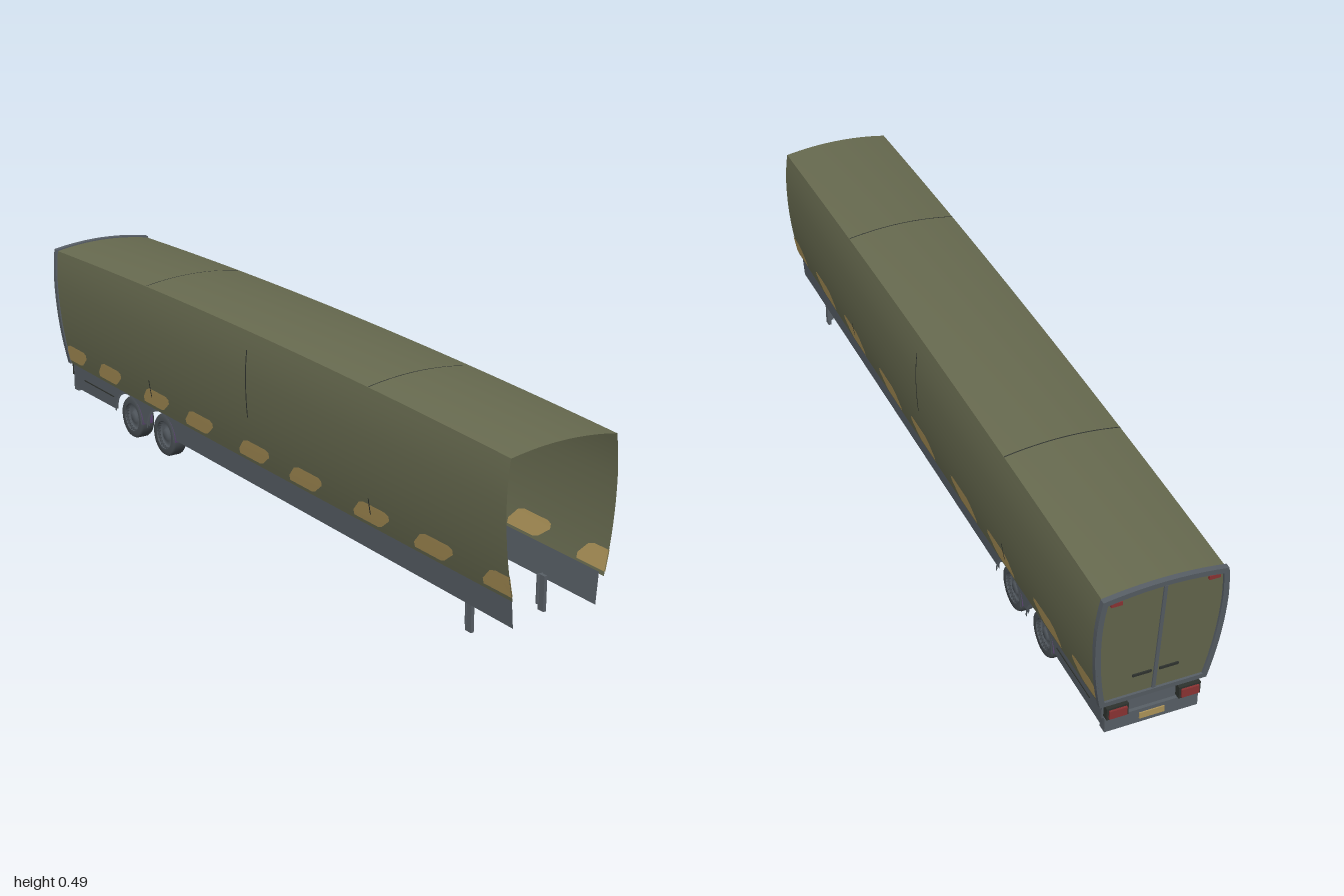
import * as THREE from 'three';

const mat = (name, color, side = THREE.FrontSide) => {
  const m = new THREE.MeshStandardMaterial({ color, side });
  m.name = name;
  return m;
};

// Barrel-shaped hull: widest at y = 0.36, slightly narrower and lower at both ends
const BOTTOM = 0.137;
const cornerY = (z) => 0.474 - 0.019 * z * z;
const halfWidth = (y, z) => 0.153 - (y < 0.36 ? 0.5 : 0.85) * (y - 0.36) ** 2 - 0.005 * z * z;
const roofY = (f, z) => cornerY(z) + 0.013 * (1 - f * f);
// The tail leans back towards the top
const lean = (y, z) => z + (z < -0.5 ? 0.028 * ((0.47 - y) / 0.33) * ((-z - 0.5) / 0.5) : 0);

// Moves every vertex of a flat geometry by a rule
function remap(geo, rule) {
  const p = geo.attributes.position;
  for (let i = 0; i < p.count; i++) p.setXYZ(i, ...rule(p.getX(i), p.getY(i)));
  geo.computeVertexNormals();
  return geo;
}
const sheet = (nu, nv, rule) =>
  remap(new THREE.PlaneGeometry(1, 1, nu, nv), (a, b) => rule(a + 0.5, b + 0.5));

// Rear outline, inset from the hull edge
function rearOutline(inset) {
  const pts = [];
  const top = cornerY(1) - inset;
  const low = 0.14 + inset;
  for (let i = 0; i <= 12; i++) {
    const y = low + ((top - low) * i) / 12;
    pts.push(new THREE.Vector2(halfWidth(y, 1) - inset, y));
  }
  const w = pts[12].x;
  for (let i = 1; i < 10; i++) {
    const f = 1 - i / 5;
    pts.push(new THREE.Vector2(w * f, top + 0.013 * (1 - f * f)));
  }
  for (let i = 12; i >= 0; i--) pts.push(new THREE.Vector2(-pts[i].x, pts[i].y));
  return pts;
}
function rearPanel(shape, z, depth) {
  const geo = new THREE.ExtrudeGeometry(shape, { depth, bevelEnabled: false });
  const p = geo.attributes.position;
  for (let i = 0; i < p.count; i++) p.setZ(i, p.getZ(i) + z + 0.085 * (0.47 - p.getY(i)));
  geo.computeVertexNormals();
  return geo;
}

export function createModel() {
  const olive = mat('olive canvas', 0x686b50, THREE.DoubleSide);
  const grey = mat('steel grey', 0x596067, THREE.DoubleSide);
  const tan = mat('tan marking', 0xb0965a, THREE.DoubleSide);
  const tyreMat = mat('tyre grey', 0x4a5055);
  const dark = mat('dark trim', 0x2f332f, THREE.DoubleSide);
  const purple = mat('purple guard', 0x57426c);
  const red = mat('red lamp', 0x8c3434);

  const root = new THREE.Group();
  root.name = 'trailer';
  const add = (name, geo, material, x = 0, y = 0, z = 0) => {
    const m = new THREE.Mesh(geo, material);
    m.name = name;
    m.position.set(x, y, z);
    root.add(m);
    return m;
  };
  const box = (name, w, h, d, material, x, y, z) =>
    add(name, new THREE.BoxGeometry(w, h, d), material, x, y, z);

  // Roof and its cross seams
  const roofPoint = (u, z, off = 0) => {
    const f = 2 * u - 1;
    const y = roofY(f, z);
    return [f * halfWidth(cornerY(z), z), y + off, lean(y, z)];
  };
  add('roof', sheet(16, 40, (u, v) => roofPoint(u, 1 - 2 * v)), olive);
  for (const z of [0.5, -0.49])
    add('roofSeam', sheet(16, 1, (u, v) => roofPoint(u, z + 0.003 * v, 0.001)), dark);

  // Front edge of each marking, measured along z
  const marks = [1.05, 0.81, 0.58, 0.315, 0.09, -0.17, -0.39, -0.655, -0.865];
  const wheelZ = [-0.47, -0.642];

  for (const s of [1, -1]) {
    const side = s > 0 ? 'left' : 'right';
    const sidePoint = (y, z, off = 0) => [s * (halfWidth(y, z) + off), y, lean(y, z)];

    // Curved side wall
    add(side + 'Wall', sheet(40, 20, (u, v) => {
      const z = 1 - 2 * u;
      return sidePoint(BOTTOM + v * (cornerY(z) - BOTTOM), z);
    }), olive);

    // Slanted markings, on both faces of the wall
    for (const m of marks) {
      const shape = new THREE.Shape();
      [[0, 0.178], [0, 0.19], [0.012, 0.195], [0.095, 0.195], [0.115, 0.188], [0.142, 0.16],
        [0.142, 0.147], [0.05, 0.147], [0.035, 0.152]].forEach(([d, y], i) => {
        const z = Math.min(1, Math.max(-0.995, m - d));
        if (i) shape.lineTo(z, y); else shape.moveTo(z, y);
      });
      for (const off of [0.0015, -0.0015])
        add(side + 'Marking', remap(new THREE.ShapeGeometry(shape), (z, y) => sidePoint(y, z, off)), tan);
    }

    // Wall seams
    for (const [z, y0, y1] of [[0.505, 0.17, 0.21], [0.01, 0.26, 0.43], [-0.485, 0.17, 0.22]])
      add(side + 'Seam', sheet(1, 8, (u, v) => sidePoint(y0 + v * (y1 - y0), z + 0.004 * u, 0.0015)), dark);

    // Chassis skirt with wheel arches
    const skirt = new THREE.Shape();
    skirt.moveTo(0.99, 0.145);
    skirt.lineTo(0.99, 0.07);
    for (const z of wheelZ) skirt.absarc(z, 0.063, 0.07, 0.1, Math.PI - 0.1, false);
    skirt.lineTo(-0.73, 0.066);
    skirt.lineTo(-0.96, 0.064);
    skirt.lineTo(-0.96, 0.145);
    add(side + 'Skirt', remap(new THREE.ShapeGeometry(skirt, 20),
      (z, y) => [s * (0.112 + 0.08 * (y - 0.07)), y, z]), grey);
    box(side + 'SkirtGroove', 0.003, 0.003, 0.17, dark, s * 0.1145, 0.1, -0.815);

    // Wheels, arch lips and guards
    for (const z of wheelZ) {
      const profile = [[0, -0.012], [0.034, -0.012], [0.038, -0.019], [0.053, -0.019], [0.057, -0.013],
        [0.057, 0.013], [0.053, 0.019], [0.038, 0.019], [0.034, 0.008], [0.018, 0.008], [0.014, 0.014], [0, 0.014]];
      const tyre = add(side + 'Tyre', new THREE.LatheGeometry(
        profile.slice(2, 8).map(([r, h]) => new THREE.Vector2(r, h)), 24), tyreMat, s * 0.09, 0.065, z);
      const hub = add(side + 'Hub', new THREE.LatheGeometry(
        [...profile.slice(0, 3), ...profile.slice(7)].map(([r, h]) => new THREE.Vector2(r, h)), 24),
      grey, s * 0.09, 0.065, z);
      tyre.rotation.z = hub.rotation.z = -s * Math.PI / 2;

      const lip = add(side + 'ArchLip', new THREE.RingGeometry(0.067, 0.074, 24, 1, 0.05, Math.PI - 0.1),
        grey, s * 0.119, 0.063, z);
      lip.rotation.y = Math.PI / 2;

      const guard = add(side + 'Guard', new THREE.CylinderGeometry(0.065, 0.065, 0.032, 20, 1, true,
        0, Math.PI), purple, s * 0.097, 0.063, z);
      guard.rotation.z = Math.PI / 2;
    }

    // Landing leg
    box(side + 'Leg', 0.008, 0.085, 0.02, grey, s * 0.1, 0.0425, 0.83);
    box(side + 'LegBrace', 0.016, 0.07, 0.004, grey, s * 0.098, 0.05, 0.822);

    // Door fittings and tail lamps
    box(side + 'DoorHandle', 0.045, 0.006, 0.006, dark, s * 0.032, 0.205, -0.972);
    box(side + 'TopLamp', 0.026, 0.01, 0.01, red, s * 0.112, 0.444, -0.993);
    box(side + 'LampHousing', 0.052, 0.032, 0.018, dark, s * 0.086, 0.115, -0.967);
    box(side + 'TailLamp', 0.042, 0.022, 0.008, red, s * 0.086, 0.115, -0.977);
  }

  // Rear frame and double doors
  const frame = new THREE.Shape(rearOutline(-0.004));
  frame.holes.push(new THREE.Path(rearOutline(0.009)));
  add('rearFrame', rearPanel(frame, -1, 0.014), grey);
  add('rearDoors', rearPanel(new THREE.Shape(rearOutline(0.004)), -0.994, 0.005), olive);
  const strip = new THREE.Shape([[-0.004, 0.15], [0.004, 0.15], [0.004, 0.456], [-0.004, 0.456]]
    .map(([x, y]) => new THREE.Vector2(x, y)));
  add('doorStrip', rearPanel(strip, -0.998, 0.005), grey);

  // Tail panel, bumper and plate
  box('tailPanel', 0.232, 0.055, 0.006, grey, 0, 0.12, -0.957);
  box('bumper', 0.224, 0.038, 0.022, grey, 0, 0.076, -0.957);
  box('plate', 0.06, 0.016, 0.004, tan, 0, 0.077, -0.969);

  return root;
}
